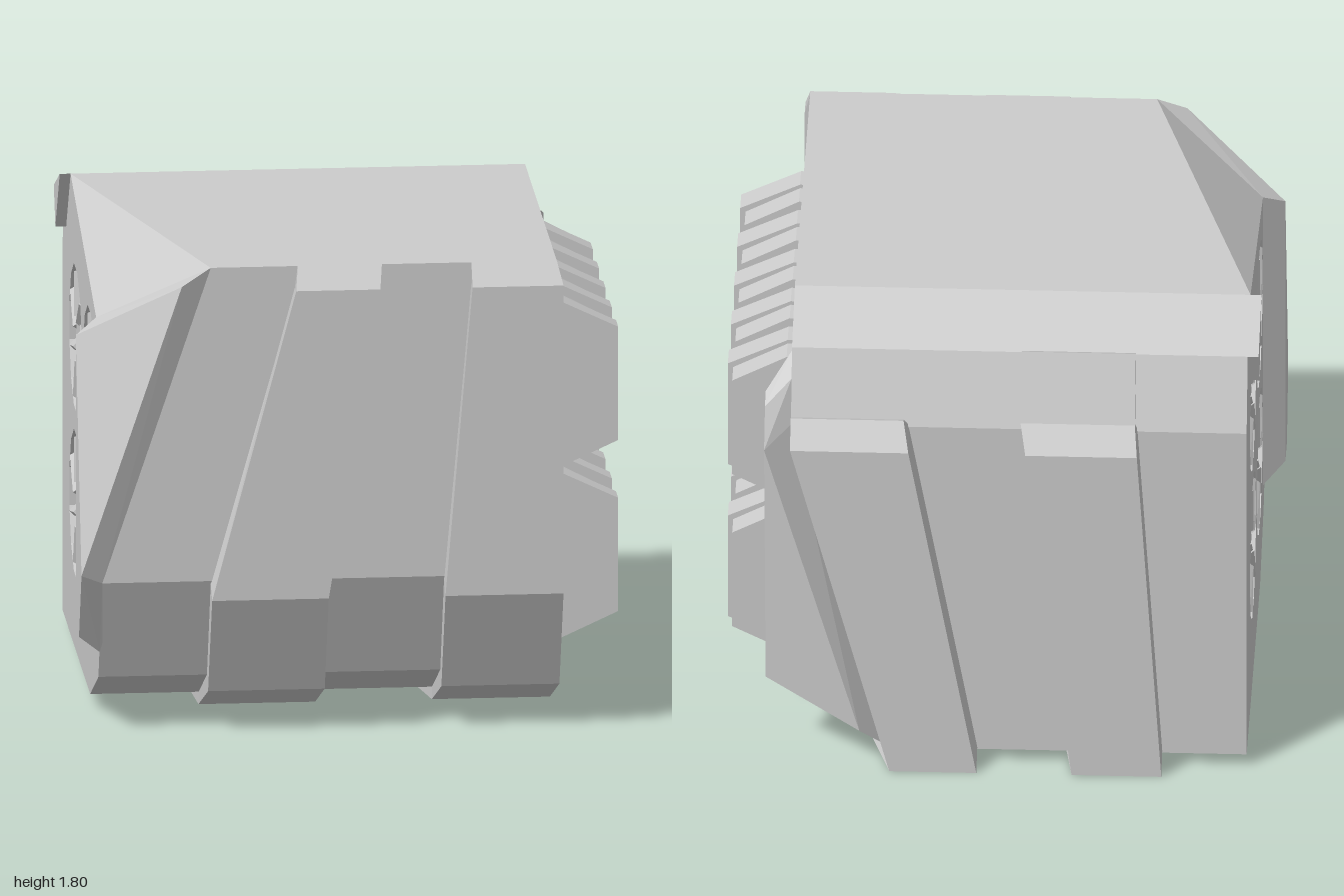
import * as THREE from 'three';
import { ConvexGeometry } from 'three/addons/geometries/ConvexGeometry.js';

const material = new THREE.MeshStandardMaterial({ color: 0xcccccc, flatShading: true, side: THREE.DoubleSide });

function mesh(geometry, name, parent) {
  const m = new THREE.Mesh(geometry, material);
  m.name = name;
  parent.add(m);
  return m;
}

// Skin a row of closed loops of [x, y, z] points; optional four-cornered end caps.
function loft(loops, caps = false) {
  const out = [];
  const quad = (a, b, c, d) => out.push(...a, ...b, ...c, ...a, ...c, ...d);
  for (let k = 0; k < loops.length - 1; k++) {
    const p = loops[k], q = loops[k + 1];
    p.forEach((_, i) => {
      const j = (i + 1) % p.length;
      quad(p[i], q[i], q[j], p[j]);
    });
  }
  if (caps) {
    quad(...loops[0]);
    quad(...[...loops[loops.length - 1]].reverse());
  }
  const g = new THREE.BufferGeometry();
  g.setAttribute('position', new THREE.Float32BufferAttribute(out, 3));
  g.computeVertexNormals();
  return g;
}

const hull = (pts) => new ConvexGeometry(pts.map((p) => new THREE.Vector3(...p)));

// Side outline given as [z, y]; turned so that its face looks along +x.
const sideShape = (pts) => new THREE.Shape(pts.map(([z, y]) => new THREE.Vector2(-z, y)));
const rect = (z0, z1, y0, y1) => [[z0, y1], [z1, y1], [z1, y0], [z0, y0]];

export function createModel() {
  const model = new THREE.Group();
  model.name = 'coolingUnit';

  // Body: one side outline swept along x, with two opposite corners cut away
  const XR = 0.755, XL = -0.92;
  const outline = [[-0.5, 1.8], [0.89, 1.8], [0.89, 0.61], [0.72, 0.21],
    [0.36, 0.05], [-0.86, 0.05], [-0.86, 1.42], [-0.76, 1.69]];
  const rightOutline = outline.map((p, i) => (i === 5 ? [-0.69, 0.22] : p));
  const leftOutline = outline.map((p, i) => (i === 1 ? [0.62, 1.55] : p));
  const at = (pts, x) => pts.map(([z, y]) => [x, y, z]);
  const rightCut = at(outline, XR);
  rightCut[5][0] = 0.39;
  const leftCut = at(outline, XL);
  leftCut[1][0] = -0.52;
  mesh(loft([at(rightOutline, XR), rightCut, leftCut, at(leftOutline, XL)]), 'bodyShell', model);

  // Right face frame with its funnel-shaped opening
  const mouth = rect(-0.68, 0.7, 0.235, 1.64);
  const throat = rect(-0.63, 0.67, 0.3, 1.54);
  const tunnelEnd = rect(-0.6, 0.62, 0.28, 1.53);
  const frame = sideShape(rightOutline);
  frame.holes.push(sideShape(mouth));
  const frameMesh = mesh(new THREE.ShapeGeometry(frame).rotateY(Math.PI / 2), 'rightFrame', model);
  frameMesh.position.x = XR;
  mesh(loft([at(tunnelEnd, -0.87), at(throat, 0.62), at(mouth, XR)]), 'innerDuct', model);

  // Left panel with four fan openings
  const fanCentres = [];
  for (const y of [0.6, 1.23]) for (const z of [-0.28, 0.32]) fanCentres.push([z, y]);
  const panel = sideShape(leftOutline);
  for (const [cz, cy] of fanCentres) {
    const ring = [];
    for (let i = 0; i < 12; i++) {
      const a = ((i + 0.5) / 12) * Math.PI * 2;
      ring.push([cz + 0.28 * Math.cos(a), cy + 0.28 * Math.sin(a)]);
    }
    panel.holes.push(sideShape(ring));
  }
  const panelGeo = new THREE.ExtrudeGeometry(panel, { depth: 0.07, bevelEnabled: false }).rotateY(Math.PI / 2);
  mesh(panelGeo, 'fanPanel', model).position.x = XL;

  // Fans: hub and seven pitched blades
  for (const [cz, cy] of fanCentres) {
    const fan = new THREE.Group();
    fan.name = 'fan';
    fan.position.set(-0.875, cy, cz);
    mesh(new THREE.CylinderGeometry(0.1, 0.1, 0.07, 7).rotateZ(Math.PI / 2), 'fanHub', fan);
    for (let i = 0; i < 7; i++) {
      const arm = new THREE.Group();
      arm.name = 'fanBlade';
      arm.rotation.x = (i / 7) * Math.PI * 2;
      const blade = mesh(new THREE.BoxGeometry(0.025, 0.17, 0.11), 'blade', arm);
      blade.position.y = 0.165;
      blade.rotation.y = 0.8;
      fan.add(arm);
    }
    model.add(fan);
  }

  // Flared flanges at the front left and back right corners
  mesh(hull([[-0.92, 1.55, 0.62], [-0.92, 0.32, 0.62], [-1, 1.5, 0.68], [-1, 0.39, 0.68],
    [-1, 0.65, 0.93], [-1, 0.39, 0.82], [-0.63, 1.74, 0.93], [-0.52, 1.8, 0.89],
    [-0.92, 0.61, 0.89], [-0.92, 0.32, 0.78]]), 'frontFlange', model);
  mesh(hull([[0.755, 1.64, -0.69], [0.755, 0.22, -0.69], [0.85, 1.53, -0.81], [0.85, 0.31, -0.81],
    [0.85, 1.36, -0.95], [0.85, 1.5, -0.87], [0.5, 0.17, -0.95], [0.39, 0.05, -0.86],
    [0.755, 1.42, -0.86], [0.755, 1.58, -0.8]]), 'backFlange', model);

  // Small lip at the upper back left
  const lip = [[-0.5, 1.8], [-0.69, 1.55], [-0.76, 1.69]];
  mesh(hull([...at(lip, -0.96), ...at(lip, -0.9)]), 'backLip', model);

  // Raised bands wrapped down the front, under the bottom and up the back.
  // Station: outer z, y, inner z, y
  const stations = [
    [0.895, 1.8, 0.87, 1.8], [0.95, 1.72, 0.87, 1.72], [0.95, 0.55, 0.87, 0.61],
    [0.77, 0.16, 0.7, 0.23], [0.35, 0, 0.36, 0.07], [-0.95, 0, -0.84, 0.07],
    [-0.95, 1.36, -0.84, 1.42], [-0.885, 1.46, -0.84, 1.44], [-0.79, 1.71, -0.75, 1.69]];
  const band = (spans) => loft(spans.map(([x0, x1], i) => {
    const [zo, yo, zi, yi] = stations[i];
    return [[x0, yi, zi], [x0, yo, zo], [x1, yo, zo], [x1, yi, zi]];
  }), true);
  mesh(band([[-0.2, 0.11], [-0.21, 0.1], [-0.52, -0.09], [-0.52, -0.09], [-0.52, -0.09],
    [-0.61, -0.28], [-0.52, -0.11], [-0.51, -0.09], [-0.51, -0.09]]), 'middleBand', model);
  mesh(band([[0.44, 0.755], [0.44, 0.775], [0.34, 0.775], [0.34, 0.775], [0.34, 0.775],
    [0.07, 0.39], [0.32, 0.755], [0.34, 0.755]]), 'rightBand', model);

  // Heat-sink fins: two rows of five stepped pairs
  const fin = (xo, inset) => {
    const s = new THREE.Shape();
    [[0.6, 0.02], [0.76, 0.02 + inset], [xo, 0.13 + inset], [xo, 0.56 - inset],
      [0.78, 0.665 - inset], [0.6, 0.665 - inset]]
      .forEach(([x, y], i) => (i ? s.lineTo(x, y) : s.moveTo(x, y)));
    return new THREE.ExtrudeGeometry(s, { depth: 0.097, bevelEnabled: false });
  };
  const bigFin = fin(1, 0), smallFin = fin(0.98, 0.015);
  for (const y of [0.275, 0.925]) {
    for (let i = 0; i < 5; i++) {
      const z = 0.575 - i * 0.279;
      mesh(bigFin, 'largeFin', model).position.set(0, y, z);
      mesh(smallFin, 'smallFin', model).position.set(0, y, z - 0.097);
    }
    const shelf = mesh(new THREE.BoxGeometry(0.22, 0.02, 1.36), 'finShelf', model);
    shelf.position.set(0.675, y, 0.02);
  }
  return model;
}
